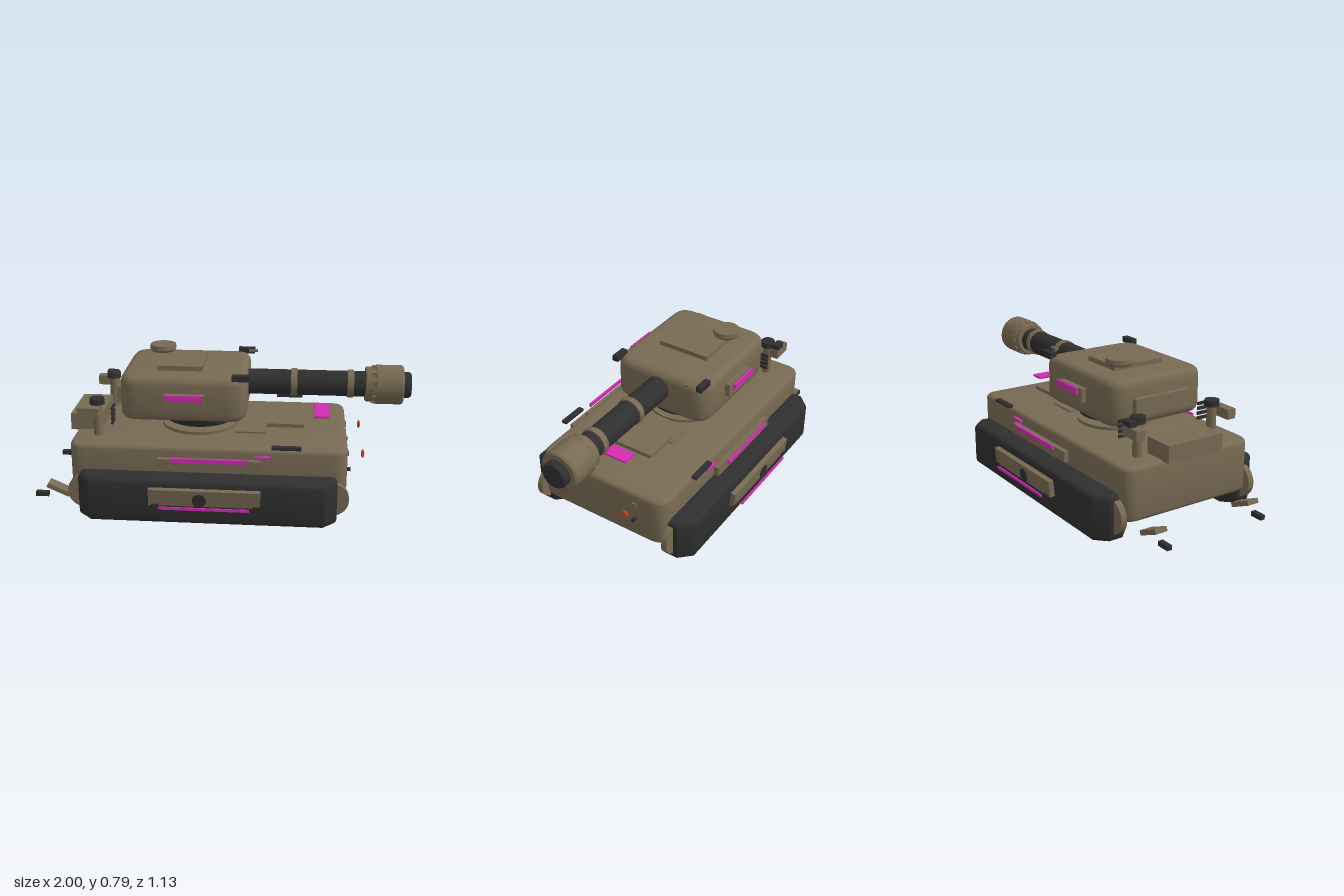
import * as THREE from 'three';
import { toCreasedNormals } from 'three/addons/utils/BufferGeometryUtils.js';

const material = (name, color) => {
  const m = new THREE.MeshStandardMaterial({ color });
  m.name = name;
  return m;
};

export function createModel() {
  const group = new THREE.Group();
  const khaki = material('khaki', 0x786a53);
  const dark = material('darkMetal', 0x2f2f30);
  const magenta = material('magenta', 0xd42cb4);
  const orange = material('orange', 0xd0481c);

  const add = (name, geometry, mat) => {
    const mesh = new THREE.Mesh(geometry, mat);
    mesh.name = name;
    group.add(mesh);
    return mesh;
  };
  // Box given by its extents on each axis
  const box = (name, mat, x0, x1, y0, y1, z0, z1) => {
    const mesh = add(name, new THREE.BoxGeometry(x1 - x0, y1 - y0, Math.abs(z1 - z0)), mat);
    mesh.position.set((x0 + x1) / 2, (y0 + y1) / 2, (z0 + z1) / 2);
    return mesh;
  };
  // Upright slab with cut or rounded plan corners and bevelled top and bottom
  const slab = (name, mat, [x0, x1], [y0, y1], [z0, z1], corner, bevel, round) => {
    const w = (x1 - x0) / 2, d = (z1 - z0) / 2, c = corner;
    const s = new THREE.Shape();
    const turn = (cx, cy, ex, ey) => (round ? s.quadraticCurveTo(cx, cy, ex, ey) : s.lineTo(ex, ey));
    s.moveTo(-w + c, -d);
    s.lineTo(w - c, -d);
    turn(w, -d, w, -d + c);
    s.lineTo(w, d - c);
    turn(w, d, w - c, d);
    s.lineTo(-w + c, d);
    turn(-w, d, -w, d - c);
    s.lineTo(-w, -d + c);
    turn(-w, -d, -w + c, -d);
    const g = new THREE.ExtrudeGeometry(s, {
      depth: y1 - y0 - 2 * bevel, bevelThickness: bevel, bevelSize: bevel,
      bevelOffset: -bevel, bevelSegments: 3, curveSegments: 6,
    });
    g.rotateX(-Math.PI / 2);
    const mesh = add(name, toCreasedNormals(g, 0.7), mat);
    mesh.position.set((x0 + x1) / 2, y0 + bevel, (z0 + z1) / 2);
    return mesh;
  };
  const disc = (name, mat, r0, r1, x, y0, y1, z) => {
    const mesh = add(name, new THREE.CylinderGeometry(r1, r0, y1 - y0, 28), mat);
    mesh.position.set(x, (y0 + y1) / 2, z);
    return mesh;
  };
  // Solid turned around the gun axis, profile as [radius, x]
  const turned = (name, mat, profile, y = 0.628, z = 0) => {
    const g = new THREE.LatheGeometry(profile.map(([r, x]) => new THREE.Vector2(r, x)), 32);
    g.rotateZ(-Math.PI / 2);
    const mesh = add(name, toCreasedNormals(g, 0.6), mat);
    mesh.position.set(0, y, z);
    return mesh;
  };

  // Hull
  slab('hull', khaki, [-0.785, 0.665], [0.105, 0.384], [-0.388, 0.388], 0.08, 0.022, true);
  box('bellyPlate', dark, -0.42, 0.28, 0.04, 0.075, -0.197, 0.197);
  box('enginePlate', khaki, 0.24, 0.435, 0.425, 0.445, -0.16, 0.16);
  box('deckPlate', khaki, 0.07, 0.235, 0.38, 0.392, -0.155, 0.155);
  box('deckLight', magenta, 0.49, 0.57, 0.46, 0.471, -0.1, 0.1);
  box('rearBin', khaki, -0.818, -0.65, 0.38, 0.47, -0.165, 0.165);
  disc('turretBase', khaki, 0.205, 0.205, -0.135, 0.38, 0.4, 0);
  disc('turretRing', dark, 0.19, 0.21, -0.13, 0.425, 0.487, 0);

  // Turret
  slab('turret', khaki, [-0.53, 0.133], [0.482, 0.721], [-0.286, 0.286], 0.1, 0.04, true);
  box('roofHatch', khaki, -0.345, -0.105, 0.715, 0.746, -0.15, 0.147);
  disc('cupola', khaki, 0.066, 0.073, -0.35, 0.755, 0.768, -0.125);
  disc('cupolaTop', khaki, 0.073, 0.07, -0.35, 0.768, 0.79, -0.125);
  box('turretRearPlate', khaki, -0.56, -0.525, 0.545, 0.63, -0.17, 0.165);
  box('roofSight', khaki, 0.12, 0.17, 0.733, 0.746, -0.215, -0.197);

  // Gun
  turned('barrel', dark, [[0, 0.1], [0.068, 0.1], [0.068, 0.78], [0, 0.78]]);
  for (const x of [0.36, 0.66]) {
    turned('barrelRing', khaki, [[0.06, x], [0.074, x], [0.076, x + 0.017], [0.074, x + 0.034], [0.06, x + 0.034]]);
  }
  turned('muzzleBrake', khaki, [
    [0, 0.755], [0.088, 0.755], [0.093, 0.76], [0.093, 0.798], [0.098, 0.806],
    [0.105, 0.812], [0.105, 0.945], [0.097, 0.955], [0, 0.955],
  ]);
  // Small studs around the brake collar
  for (let i = 0; i < 12; i++) {
    const a = (i / 12) * Math.PI * 2;
    const stud = add('brakeStud', new THREE.BoxGeometry(0.02, 0.012, 0.026), khaki);
    stud.position.set(0.8, 0.628 + Math.cos(a) * 0.096, Math.sin(a) * 0.096);
    stud.rotation.x = a;
  }
  turned('muzzle', dark, [[0, 0.94], [0.07, 0.94], [0.07, 0.985], [0.062, 0.997], [0, 1.0]]);

  // Mirrored parts on both sides
  for (const s of [1, -1]) {
    const side = (name, mat, x0, x1, y0, y1, z0, z1) => box(name, mat, x0, x1, y0, y1, s * z0, s * z1);

    // Running gear
    const zs = s > 0 ? [0.295, 0.504] : [-0.504, -0.295];
    slab('track', dark, [-0.728, 0.615], [0.004, 0.247], zs, 0.065, 0.028, false);
    for (const x of [-0.7, 0.586]) {
      const wheel = disc('endWheel', khaki, 0.091, 0.091, x, -0.0165, 0.0165, 0);
      wheel.rotation.x = Math.PI / 2;
      wheel.position.set(x, 0.132, s * 0.4);
    }

    // Track skirt panel, leaning outward at the top
    const skirt = new THREE.Group();
    skirt.name = 'trackSkirt';
    skirt.position.set(-0.06, 0.17, s * 0.53);
    skirt.rotation.x = s * 0.1;
    const panel = box('skirtPanel', khaki, -0.285, 0.285, -0.044, 0.044, -0.014, 0.014);
    const hole = add('skirtHole', new THREE.CylinderGeometry(0.036, 0.036, 0.006, 20), dark);
    hole.rotation.x = Math.PI / 2;
    hole.position.set(-0.025, -0.01, s * 0.015);
    skirt.add(panel, hole);
    for (const x of [-0.25, 0.265]) {
      const clip = box('skirtClip', dark, x - 0.02, x + 0.02, -0.046, -0.034, -0.006, 0.006);
      clip.position.z = s * 0.016;
      skirt.add(clip);
    }
    group.add(skirt);
    side('skirtLight', magenta, -0.29, 0.17, 0.112, 0.126, 0.555, 0.563);

    // Hull side fittings
    side('hullSidePanel', khaki, -0.312, 0.217, 0.28, 0.336, 0.408, 0.435);
    side('hullSideLight', magenta, -0.24, 0.15, 0.33, 0.351, 0.45, 0.46);
    side('hullMarker', magenta, 0.19, 0.27, 0.338, 0.35, 0.388, 0.405);
    side('hullRail', dark, 0.275, 0.425, 0.402, 0.417, 0.4, 0.43);

    // Turret side fittings
    side('turretSidePanel', khaki, -0.29, -0.08, 0.566, 0.64, 0.286, 0.314);
    side('turretSideLight', magenta, -0.28, -0.092, 0.614, 0.647, 0.329, 0.34);
    side('turretBlock', dark, 0.06, 0.15, 0.71, 0.741, 0.246, 0.279);

    // Exhaust stacks and vents
    disc('exhaustStack', khaki, 0.025, 0.025, -0.655, 0.375, 0.555, s * 0.23);
    disc('exhaustCap', dark, 0.04, 0.038, -0.655, 0.556, 0.588, s * 0.23);
    side('exhaustBox', khaki, -0.75, -0.635, 0.5, 0.552, 0.255, 0.305);
    if (s < 0) side('exhaustBoxCap', dark, -0.7, -0.64, 0.552, 0.58, 0.265, 0.305);
    for (let i = 0; i < 4; i++) {
      side('ventSlat', dark, -0.574, -0.564, 0.458 + i * 0.026, 0.474 + i * 0.026, 0.21, 0.28);
    }

    // Rear mudflaps
    const flap = side('rearFlap', khaki, -0.935, -0.805, 0.075, 0.1, 0.253, 0.322);
    flap.rotation.z = -0.42;
    side('rearHook', dark, -1.0, -0.93, 0.04, 0.065, 0.278, 0.305);

    // Front lamps
    const lamp = add('frontLamp', new THREE.SphereGeometry(0.022, 16, 10), orange);
    lamp.scale.x = 0.4;
    lamp.position.set(0.747, 0.315, s * 0.22);
    side('lampSocket', khaki, 0.66, 0.676, 0.302, 0.326, 0.208, 0.232);
    side('towLug', dark, 0.66, 0.688, 0.215, 0.232, 0.212, 0.229);
  }

  return group;
}
